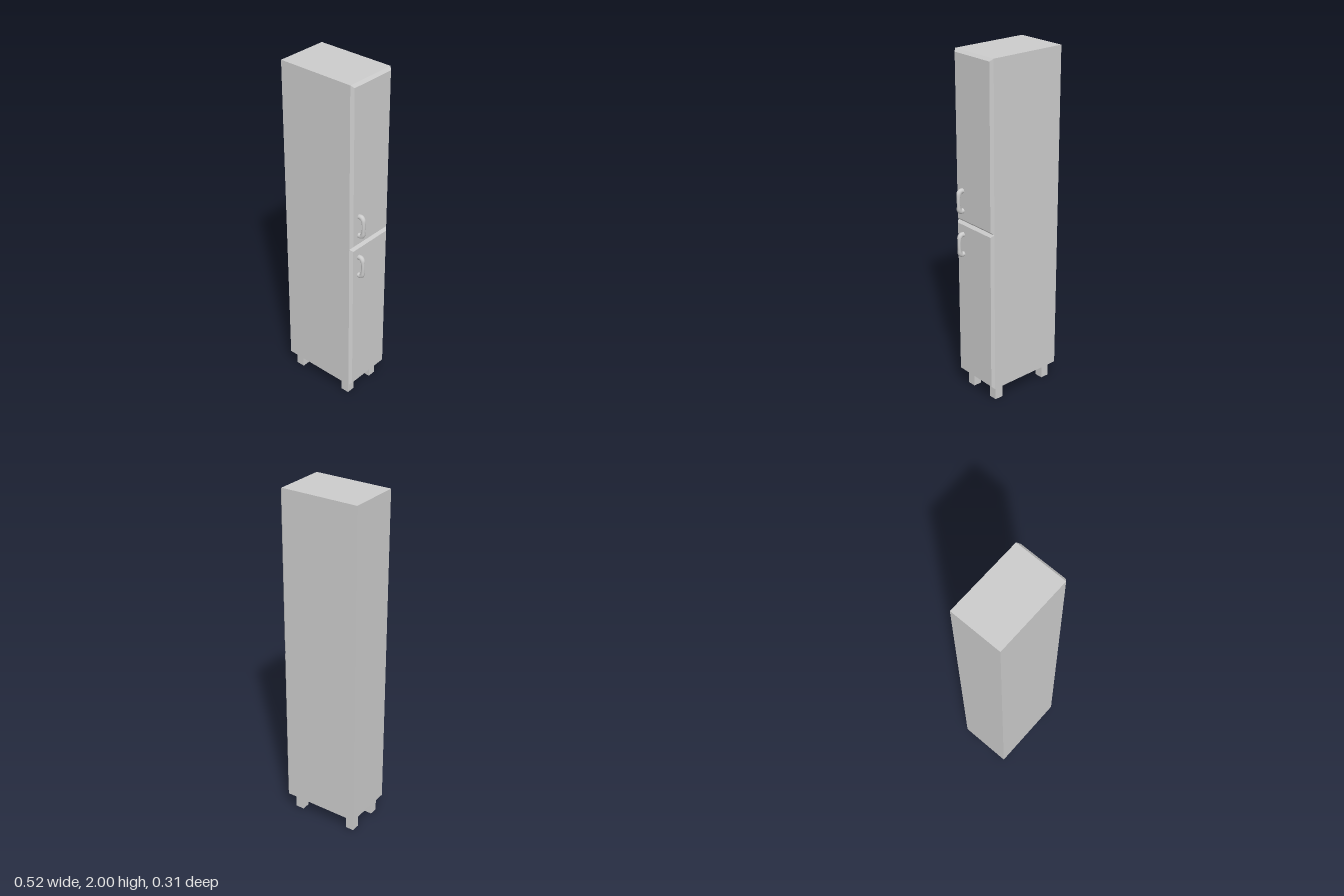
import * as THREE from 'three';

const material = new THREE.MeshStandardMaterial({ color: 0xcccccc });

function add(parent, name, geometry, x = 0, y = 0, z = 0) {
  const mesh = new THREE.Mesh(geometry, material);
  mesh.name = name;
  mesh.position.set(x, y, z);
  parent.add(mesh);
  return mesh;
}

// Door slab whose outer (+x) face is inset on all four sides
function doorGeometry(depth, height, width, bevel) {
  const geometry = new THREE.BoxGeometry(depth, height, width).toNonIndexed();
  const p = geometry.attributes.position;
  for (let i = 0; i < p.count; i++) {
    if (p.getX(i) > 0) {
      p.setY(i, p.getY(i) - Math.sign(p.getY(i)) * bevel);
      p.setZ(i, p.getZ(i) - Math.sign(p.getZ(i)) * bevel);
    }
  }
  geometry.computeVertexNormals();
  return geometry;
}

// Bow handle: a tube that is thick at the feet and slimmer along the grip
function handleGeometry() {
  const path = new THREE.CatmullRomCurve3([
    [0, -0.058], [0.018, -0.058], [0.028, -0.047], [0.031, -0.025], [0.032, 0],
    [0.031, 0.025], [0.028, 0.047], [0.018, 0.058], [0, 0.058],
  ].map(([x, y]) => new THREE.Vector3(x, y, 0)));
  const segments = 40, sides = 14;
  const geometry = new THREE.TubeGeometry(path, segments, 1, sides);
  const p = geometry.attributes.position;
  const v = new THREE.Vector3();
  for (let i = 0; i < p.count; i++) {
    const t = Math.floor(i / (sides + 1)) / segments;
    const centre = path.getPointAt(t);
    const radius = 0.0092 + 0.0048 * THREE.MathUtils.smoothstep(Math.abs(t - 0.5), 0.1, 0.35);
    v.fromBufferAttribute(p, i).sub(centre).multiplyScalar(radius).add(centre);
    p.setXYZ(i, v.x, v.y, v.z);
  }
  geometry.computeBoundingSphere();
  return geometry;
}

export function createModel() {
  const group = new THREE.Group();
  group.name = 'tallCabinet';

  const bottom = 0.097, top = 2, split = 1.05;
  const bodyWidth = 0.461, bodyDepth = 0.306;

  // Carcass
  add(group, 'carcass', new THREE.BoxGeometry(bodyWidth, top - bottom, bodyDepth),
    -0.0285, (top + bottom) / 2, 0);

  // Two stacked doors, each with a handle near the split
  const handle = handleGeometry();
  for (const [name, y0, y1, handleY] of [
    ['lower', bottom, split, 0.921],
    ['upper', split, top, 1.178],
  ]) {
    add(group, name + 'Door', doorGeometry(0.015, y1 - y0, bodyDepth, 0.015),
      0.2095, (y0 + y1) / 2, 0);
    add(group, name + 'Handle', handle, 0.2155, handleY, 0.092);
  }

  // Four square legs
  const leg = new THREE.BoxGeometry(0.051, bottom, 0.05);
  for (const x of [-0.212, 0.146]) {
    for (const z of [-0.096, 0.096]) add(group, 'leg', leg, x, bottom / 2, z);
  }

  return group;
}
